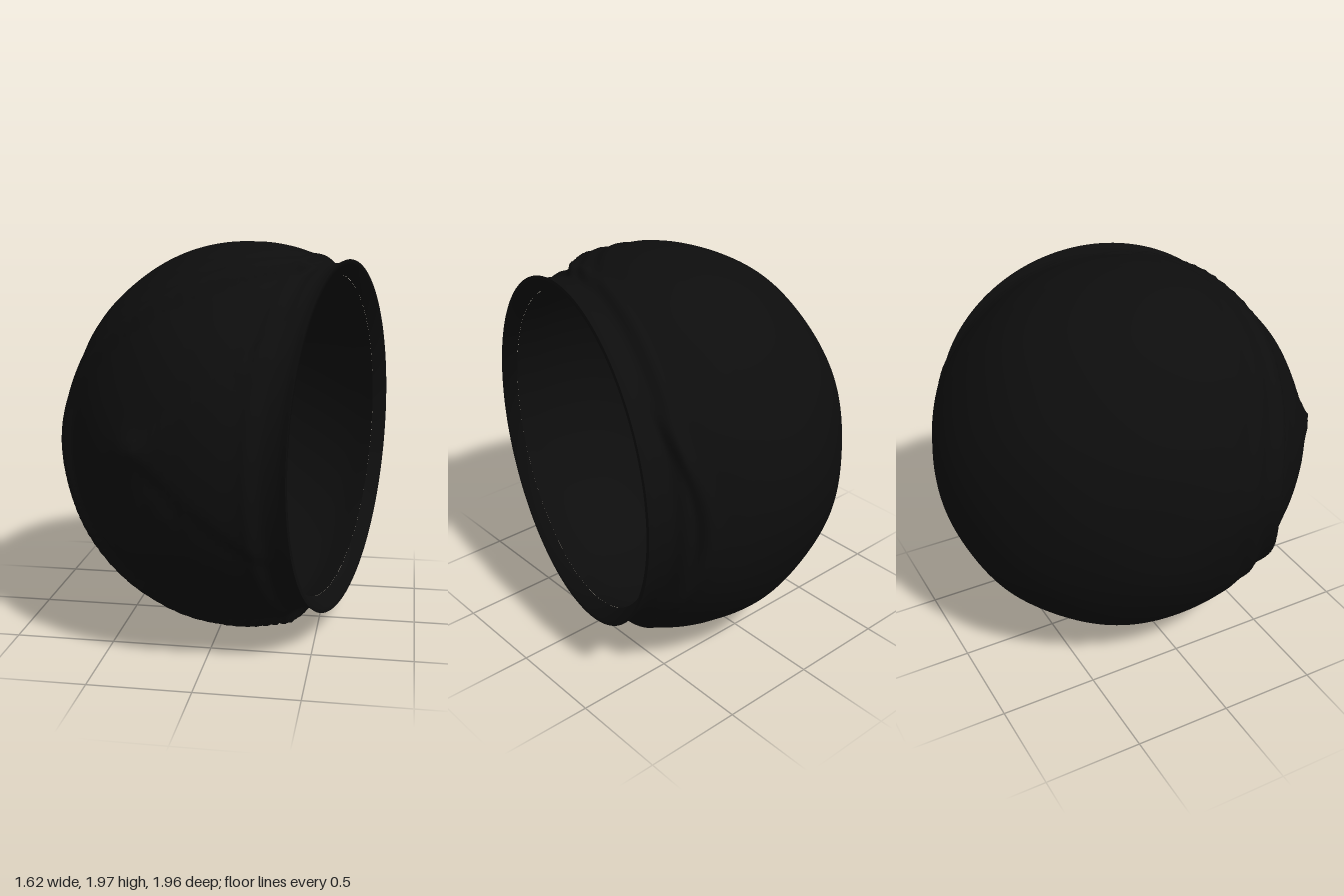
import * as THREE from 'three';
import { mergeVertices } from 'three/addons/utils/BufferGeometryUtils.js';

const SEGMENTS = 160;
const TILT = -0.222; // the opening faces the model's left, turned a little to the front
const RADIUS = 0.975, BACK_DEPTH = 0.9;

const smooth = (a, b, v) => THREE.MathUtils.smoothstep(v, a, b);
const bump = (d, width) => Math.exp(-(d * d) / (width * width));

// Raised folds, creases and soft unevenness over the outer skin
function relief(u) {
  const { x, y, z } = u;
  let h = 0.007 * Math.sin(7 * x + 2) * Math.sin(8 * y + 1) * Math.sin(6 * z);
  // hood edge sweeping round the front panel
  const hood = 0.7 * x + 0.71 * z + 0.28 - 0.9 * y * y;
  h += 0.012 - 0.024 * smooth(-0.02, 0.03, hood);
  h += 0.016 * bump(hood + 0.03, 0.045);
  h += 0.007 * Math.sin(hood * 38 + 3 * x) * bump(hood + 0.12, 0.2) * smooth(-0.2, 0.2, z);
  // wedge panel with its point at the front
  if (z > 0) {
    const wedge = 0.84 * (x + 0.43) - Math.abs(y - 0.1);
    h += 0.018 * smooth(-0.015, 0.02, wedge) * smooth(0, 0.3, z);
    h += 0.03 * bump(Math.hypot(x + 0.43, y - 0.1), 0.08);
    // small swellings on each side of the wedge
    for (const [cx, cy] of [[0.22, 0.53], [-0.27, -0.2]]) {
      const d = Math.hypot(x - cx, (y - cy) * 1.4);
      h += 0.014 * bump(d, 0.07) + 0.008 * bump(d - 0.13, 0.025);
    }
  }
  return h;
}

// Turned surface from [radius, distance along axis] points
function turned(name, profile, material, sculpt) {
  let g = new THREE.LatheGeometry(profile.map(([r, t]) => new THREE.Vector2(r, t)), SEGMENTS);
  g.deleteAttribute('uv');
  g.deleteAttribute('normal');
  g = mergeVertices(g, 1e-5);
  const p = g.attributes.position, v = new THREE.Vector3(), u = new THREE.Vector3();
  const axisTurn = new THREE.Matrix4().makeRotationY(TILT)
    .multiply(new THREE.Matrix4().makeRotationZ(-Math.PI / 2));
  for (let i = 0; i < p.count; i++) {
    v.fromBufferAttribute(p, i);
    const t = v.y;
    v.applyMatrix4(axisTurn);
    if (sculpt) {
      u.copy(v).normalize();
      v.addScaledVector(u, relief(u) * (1 - smooth(0.32, 0.44, t)));
    }
    v.y += 0.025 * smooth(0.3, 0.45, t);
    p.setXYZ(i, v.x + 0.1, v.y + 1, v.z - 0.01);
  }
  g.computeVertexNormals();
  const mesh = new THREE.Mesh(g, material);
  mesh.name = name;
  return mesh;
}

export function createModel() {
  const black = new THREE.MeshStandardMaterial({ color: 0x0d0d0d });
  black.name = 'black';
  const group = new THREE.Group();
  group.name = 'hollowRoundShell';

  // Outer skin: domed back, shoulder and narrow collar
  const outer = [];
  for (let i = 0; i <= 90; i++) {
    const a = -Math.PI / 2 + (Math.PI / 2) * (i / 90);
    outer.push([Math.max(0, RADIUS * Math.cos(a)), BACK_DEPTH * Math.sin(a)]);
  }
  const shoulder = new THREE.CatmullRomCurve3([
    [0.975, 0], [0.972, 0.1], [0.955, 0.2], [0.925, 0.3], [0.915, 0.345],
    [0.875, 0.39], [0.866, 0.43], [0.868, 0.48], [0.885, 0.52],
  ].map(([r, t]) => new THREE.Vector3(r, t, 0)));
  shoulder.getPoints(50).slice(1).forEach((q) => outer.push([q.x, q.y]));
  group.add(turned('outerShell', outer, black, true));

  // Bevelled lip of the opening
  group.add(turned('openingLip', [[0.885, 0.52], [0.86, 0.52], [0.81, 0.46]], black, false));

  // Hollow inside
  const inner = [];
  const start = Math.asin(0.46 / 1.05);
  for (let i = 0; i <= 60; i++) {
    const a = start - (start + Math.PI / 2) * (i / 60);
    const s = Math.sin(a);
    inner.push([Math.max(0, 0.9 * Math.cos(a)), s > 0 ? 1.05 * s : 0.82 * s]);
  }
  group.add(turned('innerBowl', inner, black, false));
  return group;
}
